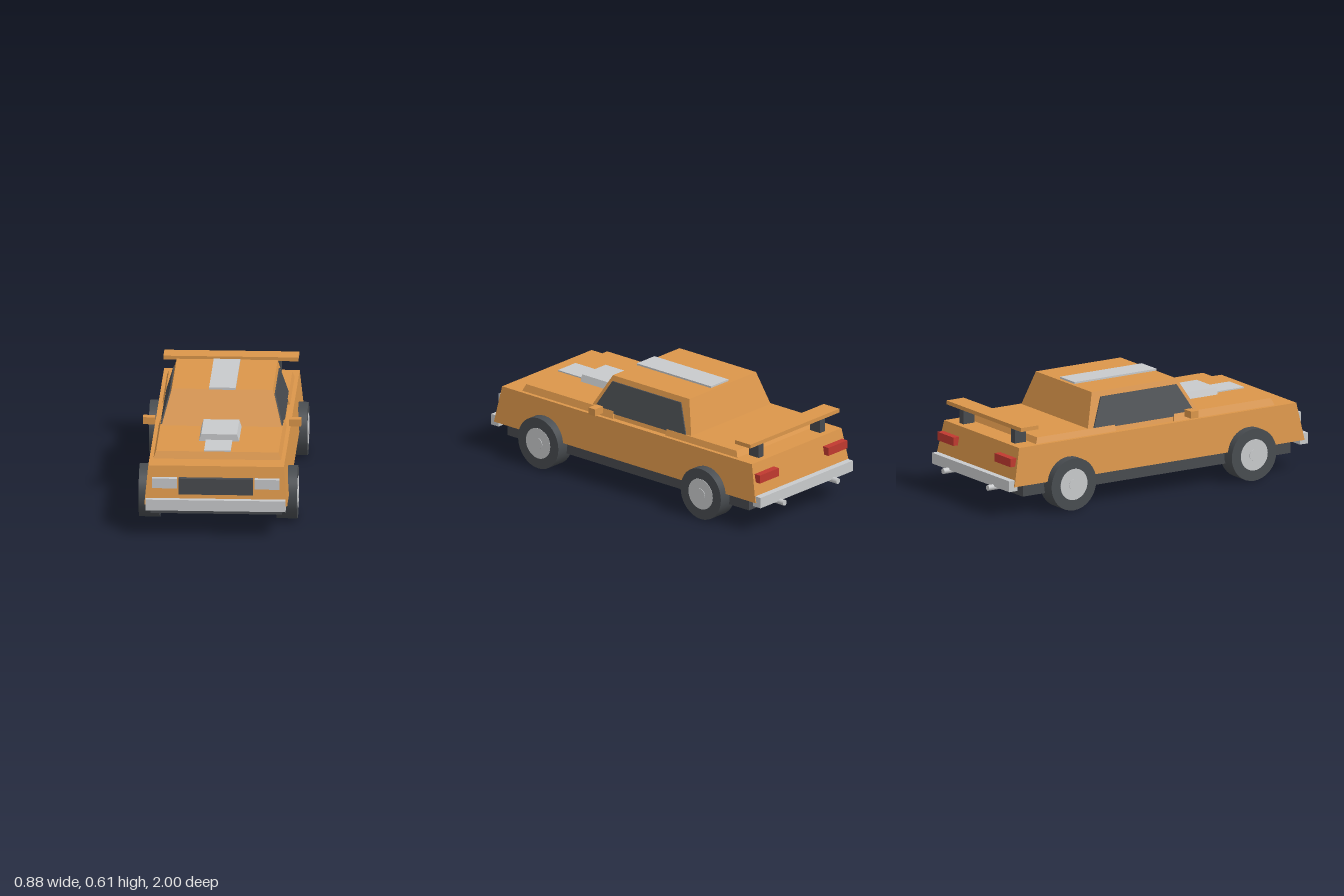
import * as THREE from 'three';

const mat = (name, color) => Object.assign(new THREE.MeshStandardMaterial({ color }), { name });

export function createModel() {
  const car = new THREE.Group();
  car.name = 'car';
  const orange = mat('orange paint', 0xdb964a);
  const silver = mat('silver', 0xc8cacc);
  const dark = mat('dark trim', 0x484b4f);
  const tyreMat = mat('tyre rubber', 0x484c50);
  const red = mat('tail light red', 0xc0392f);

  const add = (name, geometry, material, parent = car) => {
    const mesh = new THREE.Mesh(geometry, material);
    mesh.name = name;
    parent.add(mesh);
    return mesh;
  };

  // Six-sided block between two level rectangles [x0, x1, z0, z1]
  const block = (name, material, y0, bottom, y1, top = bottom) => {
    const g = new THREE.BoxGeometry(1, 1, 1);
    const p = g.attributes.position;
    for (let i = 0; i < p.count; i++) {
      const up = p.getY(i) > 0;
      const r = up ? top : bottom;
      p.setXYZ(i, r[p.getX(i) > 0 ? 1 : 0], up ? y1 : y0, r[p.getZ(i) > 0 ? 3 : 2]);
    }
    g.computeVertexNormals();
    return add(name, g, material);
  };
  // The same block on the left and right, given for the left side
  const pair = (name, material, y0, bottom, y1, top = bottom) => {
    const flip = ([a, b, c, d]) => [-b, -a, c, d];
    block(name + 'Left', material, y0, bottom, y1, top);
    block(name + 'Right', material, y0, flip(bottom), y1, flip(top));
  };
  const wide = (x, z0, z1) => [-x, x, z0, z1];

  // Body shell
  block('chassis', dark, 0.105, wide(0.36, -0.86, 0.9), 0.18);
  block('body', orange, 0.175, wide(0.392, -0.935, 0.972), 0.387, wide(0.372, -0.892, 0.93));
  block('hood', orange, 0.38, wide(0.353, 0.14, 0.805), 0.426, wide(0.336, 0.15, 0.785));
  block('trunkLid', orange, 0.38, wide(0.353, -0.77, -0.24), 0.42, wide(0.338, -0.75, -0.24));
  block('cabin', orange, 0.38, wide(0.341, -0.425, 0.335), 0.607, wide(0.277, -0.352, 0.205));
  pair('sideWindow', dark, 0.412, [0.326, 0.339, -0.38, 0.29], 0.577, [0.28, 0.293, -0.302, 0.197]);

  // Stripes and hood scoop
  block('roofStripe', silver, 0.605, wide(0.073, -0.33, 0.21), 0.617);
  block('hoodStripe', silver, 0.42, wide(0.073, 0.3, 0.785), 0.433);
  block('hoodScoop', silver, 0.42, wide(0.112, 0.308, 0.587), 0.465, wide(0.098, 0.308, 0.587));

  // Front and rear fittings
  block('frontBumper', silver, 0.15, wide(0.384, 0.945, 1), 0.211);
  block('rearBumper', silver, 0.15, wide(0.384, -0.965, -0.91), 0.211);
  block('grille', dark, 0.235, wide(0.204, 0.93, 0.972), 0.325);
  pair('headlight', silver, 0.27, [0.213, 0.35, 0.93, 0.975], 0.325);
  pair('tailLight', red, 0.283, [0.205, 0.363, -0.942, -0.9], 0.33);

  // Rear wing and door mirrors
  pair('wingStrut', dark, 0.385, [0.235, 0.275, -0.856, -0.784], 0.476);
  block('rearWing', orange, 0.475, wide(0.37, -0.878, -0.765), 0.497);
  pair('mirror', orange, 0.412, [0.368, 0.434, 0.198, 0.245], 0.452);

  // Exhaust pipes
  for (const x of [-0.222, 0.222]) {
    const pipe = add('exhaust', new THREE.CylinderGeometry(0.016, 0.016, 0.12, 16), silver);
    pipe.rotation.x = Math.PI / 2;
    pipe.position.set(x, 0.145, -0.94);
  }

  // Wheels: tyre, hub and centre cap share one axle line
  for (const z of [0.612, -0.573]) {
    for (const side of [-1, 1]) {
      const wheel = new THREE.Group();
      wheel.name = 'wheel';
      wheel.position.set(side * 0.377, 0.15, z);
      wheel.rotation.z = Math.PI / 2;
      add('tyre', new THREE.CylinderGeometry(0.147, 0.147, 0.114, 32), tyreMat, wheel);
      add('hub', new THREE.CylinderGeometry(0.088, 0.088, 0.118, 32), silver, wheel);
      add('hubCap', new THREE.CylinderGeometry(0.032, 0.032, 0.125, 20), silver, wheel);
      car.add(wheel);
    }
  }
  return car;
}
